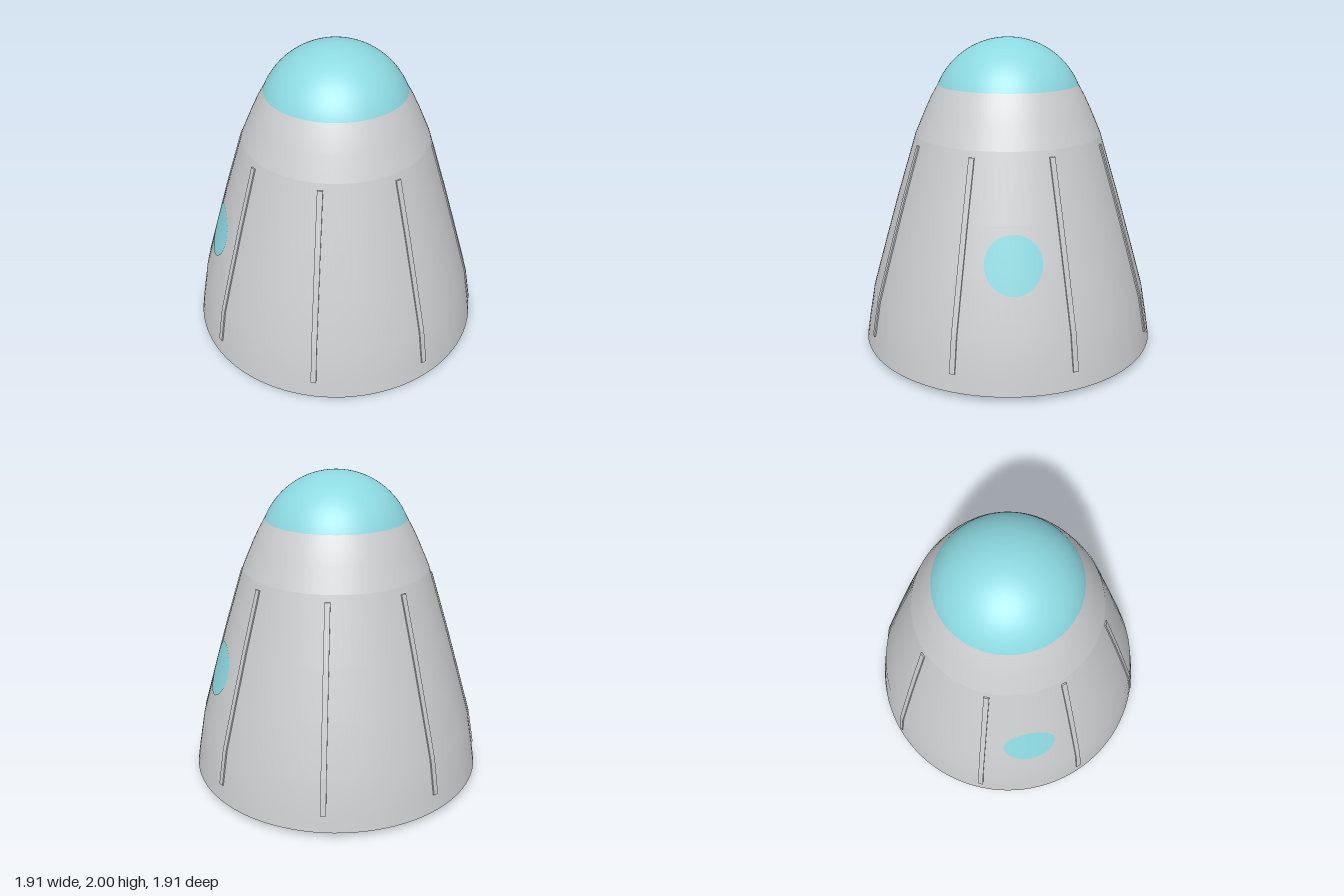
import * as THREE from 'three';

// Hull outline as [radius, height], straight between points
const lowerOutline = [[0.955, 0.04], [0.938, 0.15], [0.897, 0.38], [0.805, 0.7], [0.717, 1.0], [0.593, 1.4]];
const upperOutline = [[0.593, 1.4], [0.528, 1.55], [0.487, 1.635], [0.4446, 1.71]];

function hullRadius(y) {
  let i = 1;
  while (i < lowerOutline.length - 1 && lowerOutline[i][1] < y) i++;
  const [r0, y0] = lowerOutline[i - 1], [r1, y1] = lowerOutline[i];
  return r0 + (r1 - r0) * (y - y0) / (y1 - y0);
}

export function createModel() {
  const group = new THREE.Group();
  const hullGrey = new THREE.MeshStandardMaterial({ color: 0xcbccce });
  hullGrey.name = 'hull grey';
  const glassBlue = new THREE.MeshStandardMaterial({ color: 0x8dd9e1 });
  glassBlue.name = 'glass blue';

  const add = (name, geometry, material, angle = 0) => {
    const mesh = new THREE.Mesh(geometry, material);
    mesh.name = name;
    mesh.rotation.y = angle;
    group.add(mesh);
    return mesh;
  };
  const lathe = (points) => new THREE.LatheGeometry(points.map(([r, y]) => new THREE.Vector2(r, y)), 96);

  // Capsule body in two sections with a crease between them
  add('lowerHull', lathe(lowerOutline), hullGrey);
  add('upperHull', lathe(upperOutline), hullGrey);

  // Flat underside
  const base = new THREE.CircleGeometry(0.955, 96);
  base.rotateX(Math.PI / 2);
  base.translate(0, 0.04, 0);
  add('base', base, hullGrey);

  // Glass nose: a spherical cap
  const capRadius = 0.486;
  const nose = new THREE.SphereGeometry(capRadius, 96, 24, 0, Math.PI * 2, 0, Math.acos(0.196 / capRadius));
  nose.translate(0, 2 - capRadius, 0);
  add('noseDome', nose, glassBlue);

  // Eight raised ribs that follow the hull
  const heights = [0.15, 0.38, 0.7, 1.0, 1.36];
  const ribShape = new THREE.Shape([
    ...heights.map((y) => new THREE.Vector2(hullRadius(y) + 0.008, y)),
    ...heights.slice().reverse().map((y) => new THREE.Vector2(hullRadius(y) - 0.02, y)),
  ]);
  const rib = new THREE.ExtrudeGeometry(ribShape, { depth: 0.034, bevelEnabled: false });
  rib.translate(0, 0, -0.017);
  for (let i = 0; i < 8; i++) add('rib', rib, hullGrey, (i + 0.5) * Math.PI / 4);

  // Round side windows wrapped onto the hull
  const pane = new THREE.RingGeometry(0, 0.17, 64, 12);
  const p = pane.attributes.position;
  for (let i = 0; i < p.count; i++) {
    const x = p.getX(i), y = p.getY(i) + 0.78;
    p.setXYZ(i, x, y, Math.sqrt(hullRadius(y) ** 2 - x * x) + 0.004);
  }
  pane.computeVertexNormals();
  add('leftWindow', pane, glassBlue, Math.PI / 2);
  add('rightWindow', pane, glassBlue, -Math.PI / 2);

  // Six radial bars under the base
  const bar = new THREE.BoxGeometry(0.76, 0.04, 0.03);
  bar.translate(0.47, 0.02, 0);
  for (let i = 0; i < 6; i++) add('baseBar', bar, hullGrey, i * Math.PI / 3);

  return group;
}
